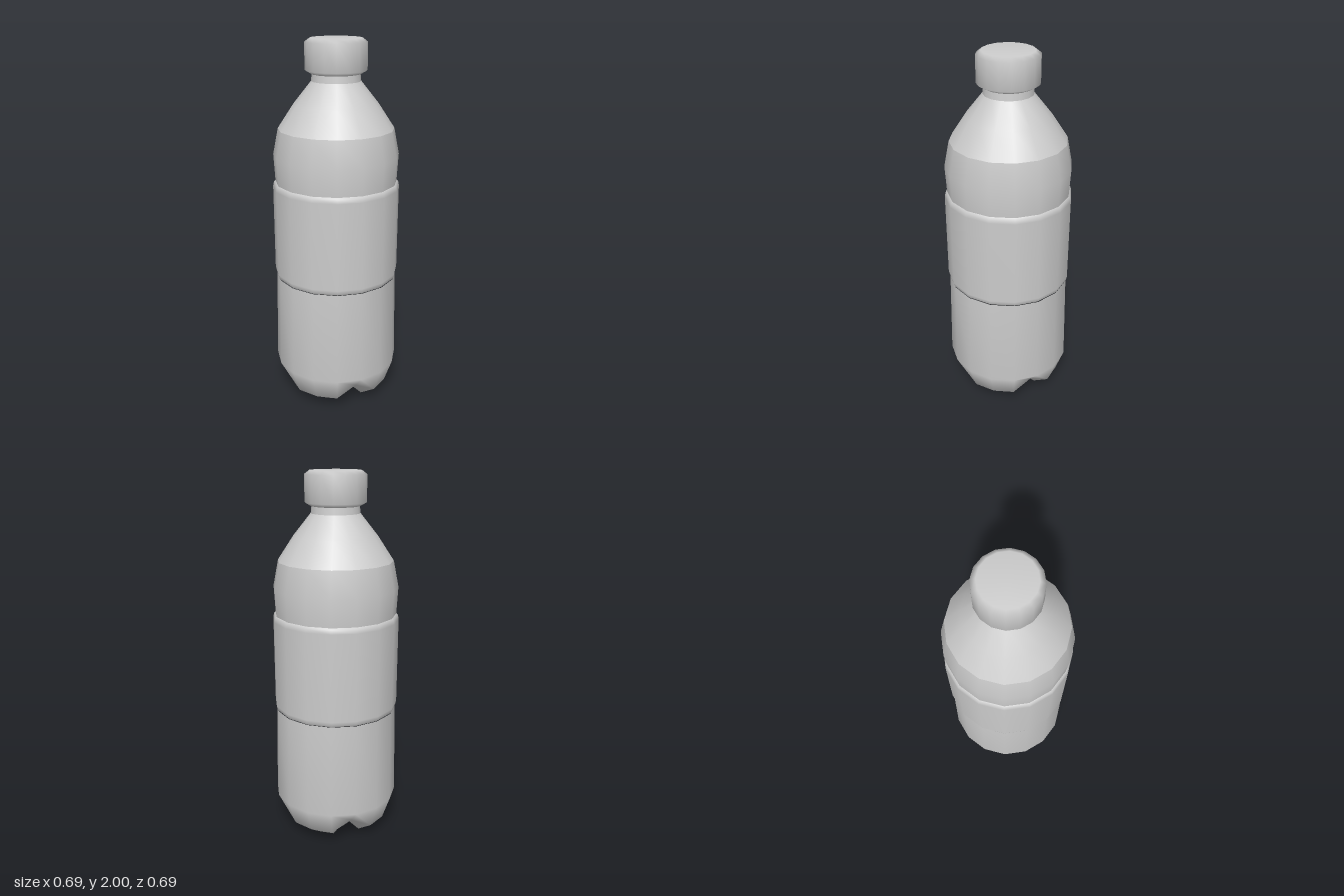
import * as THREE from 'three';
import { mergeVertices } from 'three/addons/utils/BufferGeometryUtils.js';

const SIDES = 16;

export function createModel() {
  const bottle = new THREE.Group();
  bottle.name = 'bottle';
  const grey = new THREE.MeshStandardMaterial({ color: 0xcccccc });
  grey.name = 'plain grey';

  const lathe = (profile) =>
    new THREE.LatheGeometry(profile.map(([r, y]) => new THREE.Vector2(r, y)), SIDES);
  const add = (name, geometry) => {
    const mesh = new THREE.Mesh(geometry, grey);
    mesh.name = name;
    bottle.add(mesh);
  };

  // Lower body: four feet, made by lifting the base along the x and z axes
  const base = [[0, 0.08], [0.1, 0.07], [0.2, 0], [0.3, 0.07], [0.345, 0.2], [0.334, 0.72]];
  const notch = { 2: [0.2, 0.085], 3: [0.275, 0.125] };
  let lower = lathe(base);
  const pos = lower.attributes.position;
  for (let s = 0; s <= SIDES; s += 4) {
    const a = (s / SIDES) * Math.PI * 2;
    for (const [ring, [r, y]] of Object.entries(notch)) {
      pos.setXYZ(s * base.length + Number(ring), r * Math.sin(a), y, r * Math.cos(a));
    }
  }
  lower.deleteAttribute('normal');
  lower.deleteAttribute('uv');
  lower = mergeVertices(lower, 1e-4);
  lower.computeVertexNormals();
  add('lowerBody', lower);

  // Label sleeve, standing slightly proud of the body
  add('labelSleeve', lathe([[0.33, 0.72], [0.337, 0.727], [0.342, 0.75], [0.342, 1.225], [0.337, 1.247], [0.328, 1.255]]));

  // Body above the label, then the tapering shoulder and neck
  add('upperBody', lathe([[0.328, 1.25], [0.336, 1.4], [0.308, 1.54]]));
  add('shoulder', lathe([[0.308, 1.54], [0.222, 1.67], [0.13, 1.785]]));
  add('neck', lathe([[0.13, 1.785], [0.125, 1.83]]));

  // Screw cap with bevelled rims
  add('capUnderside', lathe([[0.1, 1.822], [0.13, 1.822]]));
  add('cap', lathe([[0.13, 1.822], [0.162, 1.84], [0.162, 1.98], [0.135, 2], [0, 2]]));

  return bottle;
}
